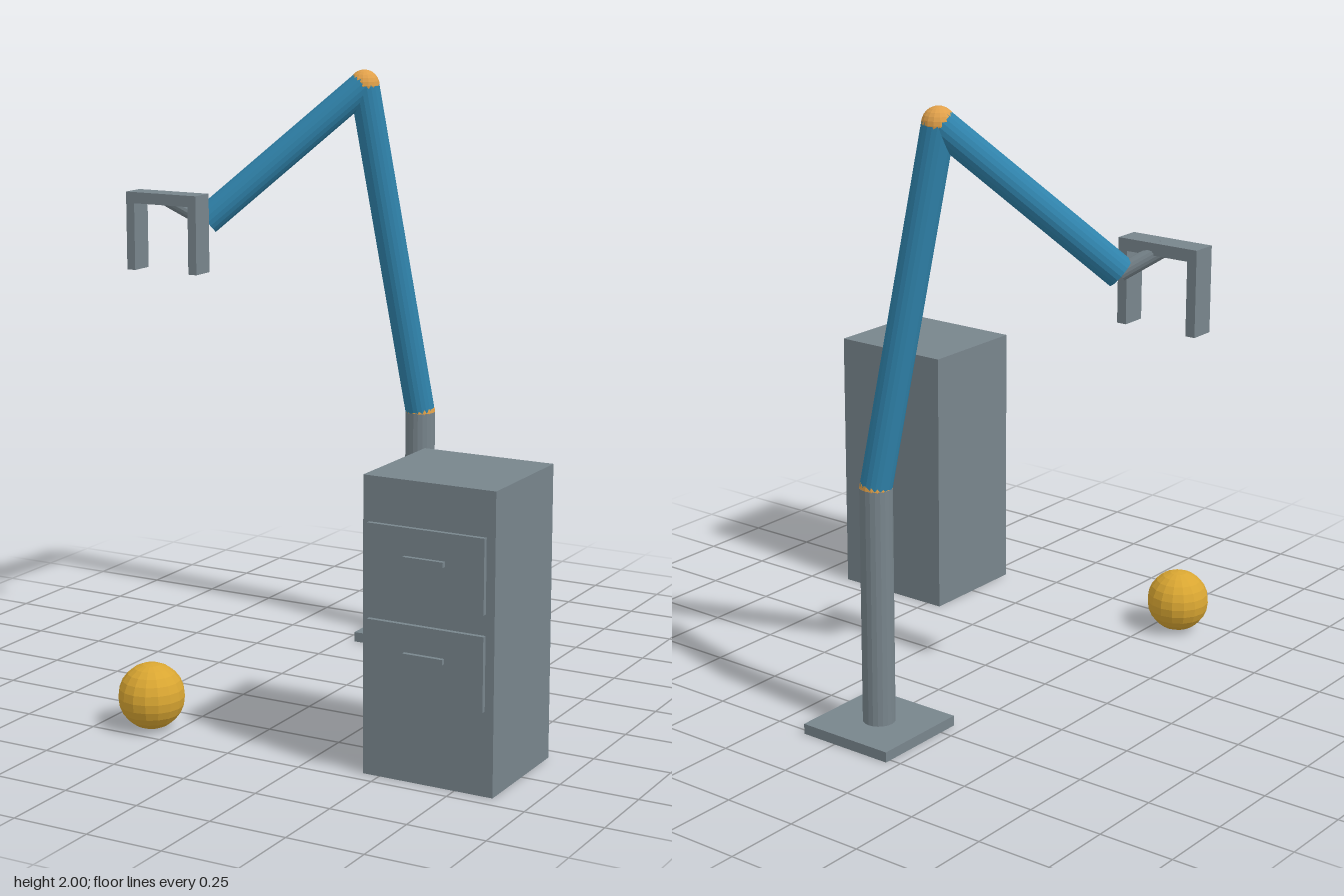
import * as THREE from 'three';

const paint = (name, color, flatShading = false) => {
  const m = new THREE.MeshStandardMaterial({ color, flatShading });
  m.name = name;
  return m;
};

export function createModel() {
  const steel = paint('steelGrey', 0x78858c, true);
  const blue = paint('armBlue', 0x2f82aa, true);
  const orange = paint('jointOrange', 0xe0a04a, true);
  const gold = paint('ballGold', 0xd9a632, true);

  const model = new THREE.Group();
  model.name = 'robotArmWorkcell';
  const V = (x, y, z) => new THREE.Vector3(x, y, z);

  const group = (name) => {
    const g = new THREE.Group();
    g.name = name;
    model.add(g);
    return g;
  };
  const add = (parent, name, geometry, material, position) => {
    const mesh = new THREE.Mesh(geometry, material);
    mesh.name = name;
    mesh.position.copy(position);
    parent.add(mesh);
    return mesh;
  };
  // Box given by its lower and upper corners
  const box = (parent, name, a, b, material) => {
    const s = b.clone().sub(a);
    return add(parent, name, new THREE.BoxGeometry(s.x, s.y, s.z), material,
      a.clone().add(b).multiplyScalar(0.5));
  };
  // Cylinder running between two points
  const rod = (parent, name, a, b, radius, material, sides = 20) => {
    const d = b.clone().sub(a);
    const mesh = add(parent, name, new THREE.CylinderGeometry(radius, radius, d.length(), sides),
      material, a.clone().add(b).multiplyScalar(0.5));
    mesh.quaternion.setFromUnitVectors(V(0, 1, 0), d.normalize());
    return mesh;
  };
  const ball = (parent, name, p, radius, material) =>
    add(parent, name, new THREE.SphereGeometry(radius, 16, 12), material, p);

  // Arm: base plate, post, two segments and joints
  const shoulder = V(-0.042, 0.815, -0.603);
  const elbow = V(-0.2, 1.948, -0.483);
  const wrist = V(-0.632, 1.497, -0.158);
  const palm = V(-0.736, 1.574, -0.079);
  const arm = group('robotArm');
  box(arm, 'basePlate', V(-0.21, 0, -0.771), V(0.126, 0.034, -0.435), steel);
  rod(arm, 'post', V(-0.042, 0.03, -0.603), shoulder, 0.052, steel);
  ball(arm, 'shoulderJoint', shoulder, 0.052, orange);
  rod(arm, 'upperArm', shoulder, elbow, 0.051, blue);
  ball(arm, 'elbowJoint', elbow, 0.052, orange);
  rod(arm, 'forearm', elbow, wrist, 0.051, blue);
  rod(arm, 'wristLink', wrist, palm, 0.026, steel, 16);

  // Gripper: crossbar with a finger at each end
  const gripper = group('gripper');
  box(gripper, 'palmBar', V(-0.875, 1.556, -0.12), V(-0.597, 1.594, -0.038), steel);
  for (const side of [-1, 1]) {
    const x = palm.x + side * 0.123;
    box(gripper, side > 0 ? 'leftFinger' : 'rightFinger',
      V(x - 0.016, 1.328, -0.12), V(x + 0.016, 1.556, -0.038), steel);
  }

  // Cabinet with two drawer fronts standing just proud of it
  const cabinet = group('cabinet');
  box(cabinet, 'cabinetBody', V(0.445, 0, 0.308), V(0.875, 0.92, 0.7), steel);
  for (const [name, y] of [['lower', 0.378], ['upper', 0.67]]) {
    box(cabinet, name + 'DrawerFront', V(0.47, y - 0.114, 0.709), V(0.851, y + 0.114, 0.724), steel);
    box(cabinet, name + 'DrawerHandle', V(0.595, y + 0.014, 0.724), V(0.726, y + 0.03, 0.738), steel);
  }

  // Ball on the floor
  ball(model, 'floorBall', V(-0.333, 0.106, 0.665), 0.106, gold);

  return model;
}
